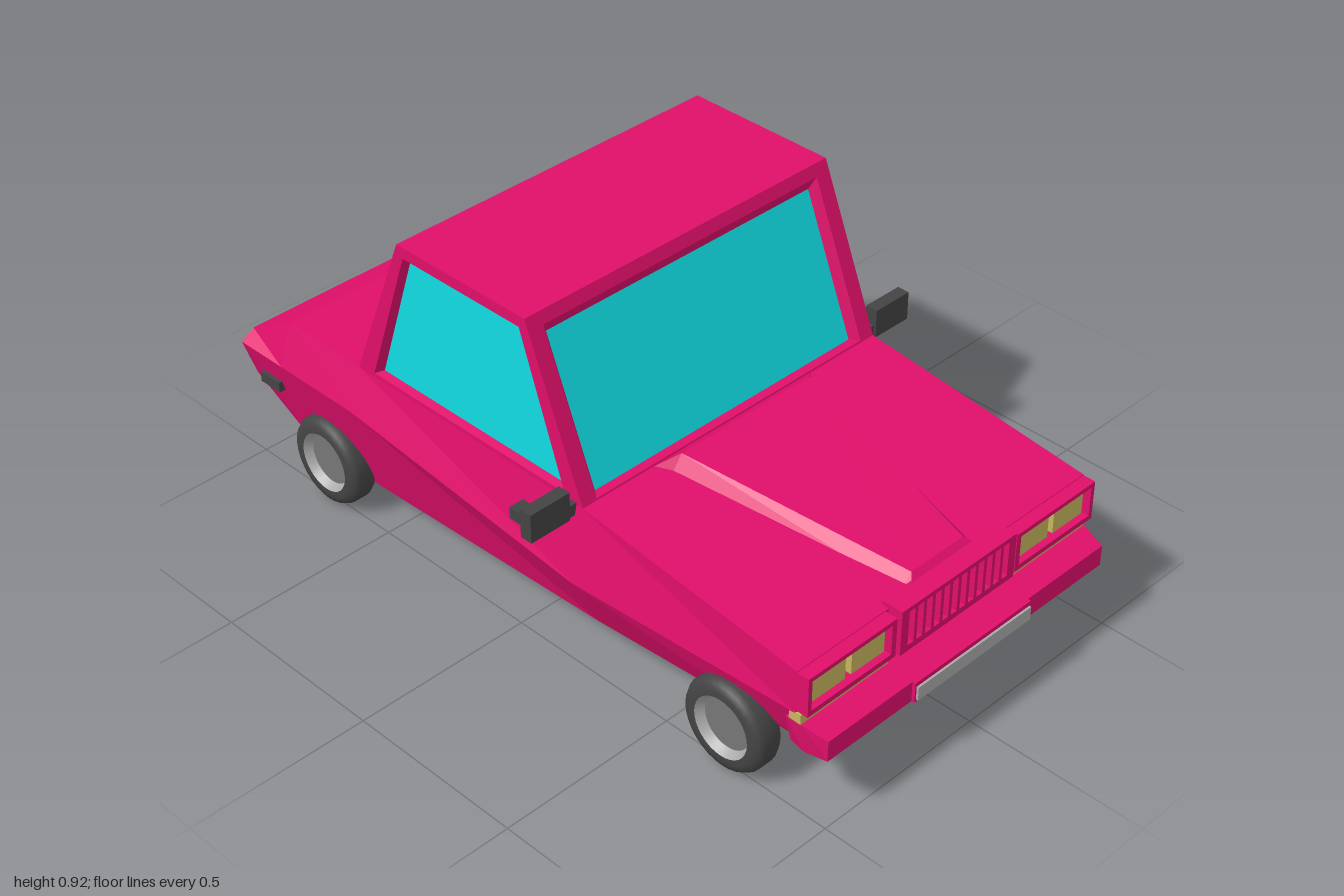
import * as THREE from 'three';

const paint = (color) => new THREE.MeshStandardMaterial({ color, flatShading: true });
const PINK = paint(0xe00f6a), GLASS = paint(0x10dde2), GOLD = paint(0xc8b560);
const DARK = paint(0x444444), GREY = paint(0x777777), SILVER = paint(0xaaaaaa);

export function createModel() {
  const car = new THREE.Group();
  const add = (name, geometry, material, x = 0, y = 0, z = 0) => {
    const mesh = new THREE.Mesh(geometry, material);
    mesh.name = name;
    mesh.position.set(x, y, z);
    car.add(mesh);
    return mesh;
  };
  // box given by its limits
  const box = (name, mat, x0, x1, y0, y1, z0, z1) =>
    add(name, new THREE.BoxGeometry(Math.abs(x1 - x0), y1 - y0, z1 - z0), mat,
      (x0 + x1) / 2, (y0 + y1) / 2, (z0 + z1) / 2);

  // convex polygons (counter-clockwise from outside) to one flat geometry
  const polygons = (list) => {
    const pos = [];
    for (const p of list)
      for (let i = 1; i < p.length - 1; i++) pos.push(...p[0], ...p[i], ...p[i + 1]);
    const g = new THREE.BufferGeometry();
    g.setAttribute('position', new THREE.Float32BufferAttribute(pos, 3));
    g.computeVertexNormals();
    return g;
  };
  // mirrored half sections [z, [x, y] from top to bottom...], ordered back to front
  const loft = (sections) => {
    const rings = sections.map(([z, ...half]) => [
      [half[0][0], half[0][1], z],
      ...half.map(([x, y]) => [-x, y, z]),
      ...half.slice(1).reverse().map(([x, y]) => [x, y, z]),
    ]);
    const faces = [[...rings[0]].reverse(), rings[rings.length - 1]];
    for (let k = 0; k < rings.length - 1; k++) {
      const a = rings[k], b = rings[k + 1];
      a.forEach((p, i) => {
        const j = (i + 1) % a.length;
        faces.push([p, a[j], b[j], b[i]]);
      });
    }
    return polygons(faces);
  };

  // lower body: shoulder, crease and sill
  add('body', loft([
    [-1.0, [0.5, 0.39], [0.54, 0.365], [0.5, 0.25]],
    [-0.84, [0.5, 0.48], [0.54, 0.365], [0.46, 0.09]],
    [-0.57, [0.5, 0.48], [0.54, 0.365], [0.46, 0.09]],
    [0.23, [0.5, 0.477], [0.54, 0.28], [0.46, 0.12]],
    [0.9, [0.5, 0.4], [0.5, 0.28], [0.46, 0.17]],
  ]), PINK);

  // raised hood panel
  add('hoodScoop', loft([
    [0.23, [0.27, 0.477], [0.27, 0.45]],
    [0.27, [0.22, 0.51], [0.262, 0.45]],
    [0.87, [0.09, 0.425], [0.125, 0.39]],
    [0.9, [0.12, 0.4], [0.12, 0.38]],
  ]), PINK);

  // cabin walls: frame, bevelled reveal and recessed glass
  const wall = (name, corners, hole, pane) => {
    const [bl, br, tr, tl] = corners.map((c) => new THREE.Vector3(...c));
    const normal = br.clone().sub(bl).cross(tl.clone().sub(bl)).normalize();
    const rect = ([u, v0, v1], depth) =>
      [[u, v0], [1 - u, v0], [1 - u, v1], [u, v1]].map(([s, t]) =>
        bl.clone().lerp(br, s).lerp(tl.clone().lerp(tr, s), t).addScaledVector(normal, -depth).toArray());
    const outer = rect([0, 0, 1], 0), edge = rect(hole, 0), glass = rect(pane, 0.022);
    const ring = (a, b) => a.map((p, i) => [p, a[(i + 1) % 4], b[(i + 1) % 4], b[i]]);
    add(name + 'Frame', polygons([...ring(outer, edge), ...ring(edge, glass)]), PINK);
    add(name + 'Glass', polygons([glass]), GLASS);
  };
  const X = 0.5, Y0 = 0.475, Y1 = 0.915, F0 = 0.23, F1 = 0.05, B0 = -0.57, B1 = -0.39;
  const endHole = [0.045, 0.015, 0.93], endPane = [0.063, 0.035, 0.88];
  const sideHole = [0.07, 0.035, 0.93], sidePane = [0.085, 0.045, 0.895];
  wall('windshield', [[-X, Y0, F0], [X, Y0, F0], [X, Y1, F1], [-X, Y1, F1]], endHole, endPane);
  wall('rearWindow', [[X, Y0, B0], [-X, Y0, B0], [-X, Y1, B1], [X, Y1, B1]], endHole, endPane);
  wall('leftWindow', [[X, Y0, F0], [X, Y0, B0], [X, Y1, B1], [X, Y1, F1]], sideHole, sidePane);
  wall('rightWindow', [[-X, Y0, B0], [-X, Y0, F0], [-X, Y1, F1], [-X, Y1, B1]], sideHole, sidePane);
  add('roof', polygons([[[-X, Y1, F1], [X, Y1, F1], [X, Y1, B1], [-X, Y1, B1]]]), PINK);

  // upright plate with rectangular openings [x0, x1, y0, y1]
  const rectPath = (P, x0, x1, y0, y1) => {
    const p = new P();
    p.moveTo(x0, y0);
    p.lineTo(x1, y0);
    p.lineTo(x1, y1);
    p.lineTo(x0, y1);
    p.closePath();
    return p;
  };
  const pierced = (name, outline, holes, z, depth) => {
    const shape = rectPath(THREE.Shape, ...outline);
    shape.holes = holes.map((h) => rectPath(THREE.Path, ...h));
    add(name, new THREE.ExtrudeGeometry(shape, { depth, bevelEnabled: false }), PINK, 0, 0, z);
  };

  // grille with upright slots
  const slots = Array.from({ length: 12 }, (_, i) => {
    const x = (i - 5.5) * 0.03;
    return [x - 0.01, x + 0.01, 0.302, 0.4];
  });
  box('grilleBack', PINK, -0.2, 0.2, 0.285, 0.412, 0.88, 0.918);
  pierced('grille', [-0.2, 0.2, 0.285, 0.412], slots, 0.918, 0.022);

  // bumper and front plate
  add('frontBumper', loft([
    [0.87, [0.5, 0.255], [0.48, 0.17]],
    [0.92, [0.5, 0.255], [0.49, 0.172]],
    [0.985, [0.485, 0.24], [0.485, 0.182]],
  ]), PINK);
  box('bumperCentre', PINK, -0.205, 0.205, 0.183, 0.24, 0.9, 0.994);
  box('frontPlate', SILVER, -0.2, 0.2, 0.19, 0.228, 0.98, 1.0);

  // headlamps, turn signals, mirrors, handles and markers on both sides
  for (const s of [1, -1]) {
    const span = (a, b) => (s > 0 ? [a, b] : [-b, -a]);
    pierced('headlampHousing', [...span(0.21, 0.5), 0.288, 0.398],
      [[...span(0.225, 0.488), 0.302, 0.386]], 0.89, 0.045);
    for (const x of [0.235, 0.365])
      box('headlamp', GOLD, ...span(x, x + 0.11), 0.31, 0.378, 0.89, 0.922);
    box('turnSignal', GOLD, ...span(0.21, 0.5), 0.255, 0.282, 0.88, 0.915);
    box('mirrorArm', DARK, ...span(0.48, 0.54), 0.45, 0.483, 0.182, 0.208);
    box('mirror', DARK, ...span(0.527, 0.648), 0.45, 0.53, 0.18, 0.215);
    box('mirrorGlass', SILVER, ...span(0.532, 0.643), 0.455, 0.525, 0.176, 0.19);
    box('doorHandle', DARK, ...span(0.515, 0.558), 0.377, 0.41, 0.04, 0.118);
    box('sideMarker', DARK, ...span(0.49, 0.53), 0.265, 0.295, -0.945, -0.87);
  }

  // parts on the sloping rear panel
  const tilt = 2.39;
  for (const x of [0.38, -0.38])
    add('tailLight', new THREE.BoxGeometry(0.16, 0.07, 0.035), GOLD, x, 0.22, -0.97).rotation.x = tilt;
  add('rearPlate', new THREE.BoxGeometry(0.4, 0.075, 0.02), DARK, 0, 0.145, -0.893).rotation.x = tilt;
  const pipe = new THREE.CylinderGeometry(0.019, 0.019, 0.13, 10).rotateX(Math.PI / 2);
  add('exhaustPipe', pipe, GREY, 0.4, 0.133, -0.91).rotation.x = tilt;

  // wheels: tyre, bright rim lip and hub disc
  const lathe = (pts) => new THREE.LatheGeometry(pts.map((p) => new THREE.Vector2(...p)), 32);
  const tyre = lathe([[0, -0.04], [0.1, -0.04], [0.117, -0.034], [0.125, -0.02],
    [0.125, 0.02], [0.117, 0.034], [0.1, 0.04], [0.083, 0.04]]);
  const rim = lathe([[0.083, 0.04], [0.07, 0.018]]);
  const hub = lathe([[0.07, 0.018], [0, 0.018]]);
  const smoothDark = new THREE.MeshStandardMaterial({ color: 0x444444 });
  const smoothSilver = new THREE.MeshStandardMaterial({ color: 0xaaaaaa });
  for (const s of [1, -1])
    for (const z of [0.7, -0.71]) {
      const wheel = new THREE.Group();
      wheel.name = z > 0 ? 'frontWheel' : 'rearWheel';
      [['tyre', tyre, smoothDark], ['rim', rim, smoothSilver], ['hub', hub, GREY]].forEach(([n, g, m]) => {
        const mesh = new THREE.Mesh(g, m);
        mesh.name = n;
        wheel.add(mesh);
      });
      wheel.rotation.z = -s * Math.PI / 2;
      wheel.position.set(s * 0.488, 0.125, z);
      car.add(wheel);
    }
  return car;
}
